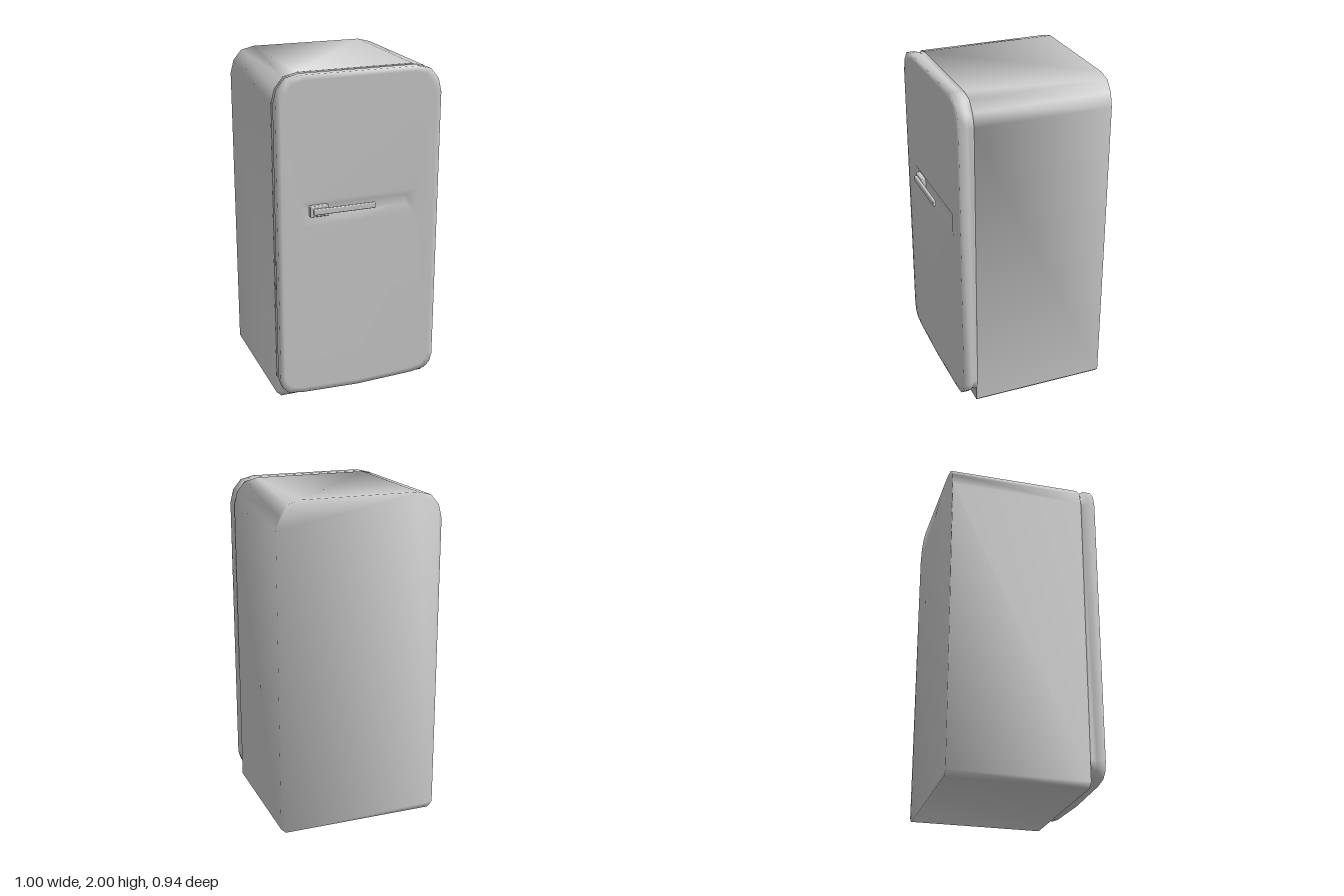
import * as THREE from 'three';
import { mergeVertices } from 'three/addons/utils/BufferGeometryUtils.js';
import { RoundedBoxGeometry } from 'three/addons/geometries/RoundedBoxGeometry.js';

const material = new THREE.MeshStandardMaterial({ color: 0xcccccc });

// Mirror a right-hand half outline into a closed loop, counter-clockwise from the front
function mirrorOutline(half) {
  const left = half.filter(([x]) => x > 0).reverse().map(([x, y]) => [-x, y]);
  return [...half, ...left];
}

// Shrink an outline about its middle by roughly d on every side
function inset(outline, d) {
  return outline.map(([x, y]) => [x * (1 - d / 0.5), 1.02 + (y - 1.02) * (1 - d / 0.98)]);
}

// Skin rings from back to front, cap both ends and share the vertices for smooth shading
function loft(rings) {
  const n = rings[0].outline.length;
  const positions = [];
  const index = [];
  for (const { outline, z } of rings) for (const [x, y] of outline) positions.push(x, y, z);
  for (let r = 0; r < rings.length - 1; r++) {
    for (let i = 0; i < n; i++) {
      const a = r * n + i, b = r * n + (i + 1) % n;
      index.push(a, b, b + n, a, b + n, a + n);
    }
  }
  const last = (rings.length - 1) * n;
  const cap = (outline) => THREE.ShapeUtils.triangulateShape(outline.map(([x, y]) => new THREE.Vector2(x, y)), []);
  for (const [a, b, c] of cap(rings[0].outline)) index.push(a, c, b);
  for (const [a, b, c] of cap(rings[rings.length - 1].outline)) index.push(last + a, last + b, last + c);
  let g = new THREE.BufferGeometry();
  g.setAttribute('position', new THREE.Float32BufferAttribute(positions, 3));
  g.setIndex(index);
  g = mergeVertices(g, 1e-4);
  g.computeVertexNormals();
  return g;
}

function addMesh(parent, name, geometry, x = 0, y = 0, z = 0) {
  const mesh = new THREE.Mesh(geometry, material);
  mesh.name = name;
  mesh.position.set(x, y, z);
  parent.add(mesh);
  return mesh;
}

export function createModel() {
  const model = new THREE.Group();
  model.name = 'refrigerator';
  const topCorner = [[0.5, 1.84], [0.48, 1.92], [0.43, 1.98], [0.35, 2]];

  // Cabinet: large rounded top corners, small chamfers at the floor
  const cabinet = mirrorOutline([[0.47, 0], [0.5, 0.03], ...topCorner]);
  addMesh(model, 'cabinet', loft([
    { outline: cabinet, z: -0.47 },
    { outline: cabinet, z: 0.35 },
  ]));

  // Door: sealing groove behind the rim, bowed lower edge, shallow recess behind the handle
  const door = mirrorOutline([[0, 0.037], [0.36, 0.05], [0.45, 0.065], [0.485, 0.1], [0.5, 0.15], ...topCorner]);
  // Rectangular ring with the same point order as the door outline
  const recess = (w, y0, y1) => door.map(([x, y]) => [Math.sign(x) * w, y < 1 ? y0 : y1]);
  addMesh(model, 'door', loft([
    { outline: inset(door, 0.002), z: 0.345 },
    { outline: inset(door, 0.012), z: 0.367 },
    { outline: door, z: 0.39 },
    { outline: door, z: 0.44 },
    { outline: inset(door, 0.03), z: 0.44 },
    { outline: recess(0.36, 1.12, 1.27), z: 0.44 },
    { outline: recess(0.3, 1.18, 1.235), z: 0.422 },
  ]));

  // Handle: mounting plate on the hinge-free side and a slim horizontal bar
  const handle = new THREE.Group();
  handle.name = 'handle';
  model.add(handle);
  addMesh(handle, 'handlePlate', new RoundedBoxGeometry(0.112, 0.066, 0.032, 2, 0.006), -0.25, 1.207, 0.435);
  addMesh(handle, 'handleBar', new RoundedBoxGeometry(0.38, 0.036, 0.019, 2, 0.006), -0.1, 1.208, 0.458);
  return model;
}
